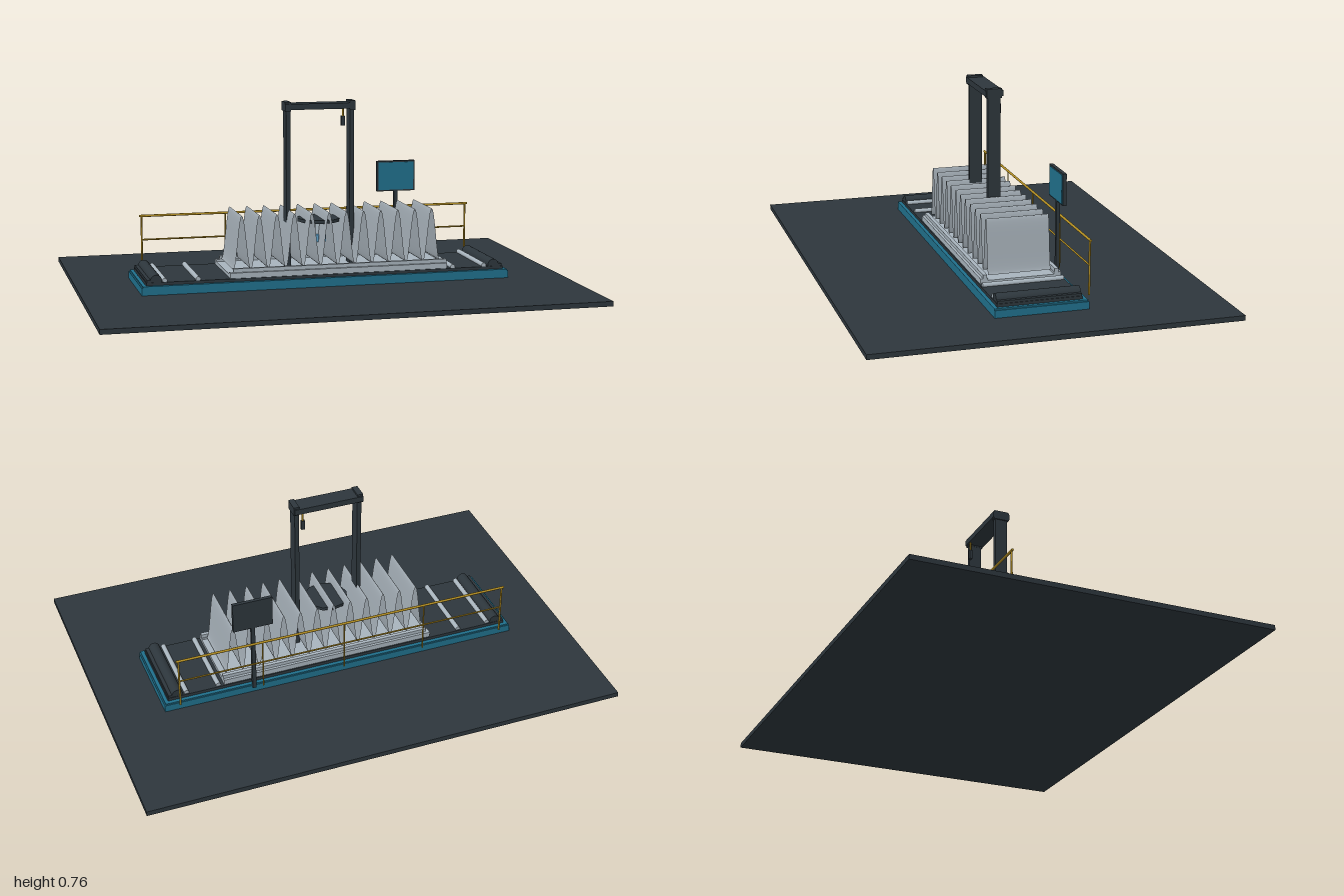
import * as THREE from 'three';

const mat = (name, color) => {
  const m = new THREE.MeshStandardMaterial({ color });
  m.name = name;
  return m;
};

export function createModel() {
  const model = new THREE.Group();
  const dark = mat('dark slate', 0x2d363c);
  const teal = mat('teal paint', 0x20708c);
  const steel = mat('light steel', 0xa8b4bd);
  const gold = mat('safety yellow', 0xb08c22);
  const blue = mat('light blue', 0x5fa3cc);
  const sheetMat = mat('sheet steel', 0xa3adb5);
  sheetMat.side = THREE.DoubleSide;

  const add = (name, geo, material, x, y, z) => {
    const mesh = new THREE.Mesh(geo, material);
    mesh.name = name;
    mesh.position.set(x, y, z);
    model.add(mesh);
    return mesh;
  };
  // Box given by its limits on each axis
  const box = (name, material, x0, x1, y0, y1, z0, z1) =>
    add(name, new THREE.BoxGeometry(x1 - x0, y1 - y0, z1 - z0), material,
      (x0 + x1) / 2, (y0 + y1) / 2, (z0 + z1) / 2);
  const post = (name, material, r, x, y0, y1, z) =>
    add(name, new THREE.CylinderGeometry(r, r, y1 - y0, 12), material, x, (y0 + y1) / 2, z);
  const barX = (name, material, r, x0, x1, y, z) => {
    add(name, new THREE.CylinderGeometry(r, r, x1 - x0, 12), material, (x0 + x1) / 2, y, z)
      .rotation.z = Math.PI / 2;
  };
  const barZ = (name, material, r, x, y, z0, z1) => {
    add(name, new THREE.CylinderGeometry(r, r, z1 - z0, 20), material, x, y, (z0 + z1) / 2)
      .rotation.x = Math.PI / 2;
  };

  // Floor and base tray
  box('floorSlab', dark, -1, 1, 0, 0.02, -0.73, 0.73);
  box('baseFrame', teal, -0.765, 0.765, 0.02, 0.05, -0.19, 0.185);
  for (const s of [-1, 1]) {
    box('baseRimSide', teal, -0.76, 0.76, 0.05, 0.056, s * 0.178 - 0.009, s * 0.178 + 0.007);
    box('baseRimEnd', teal, s * 0.753 - 0.007, s * 0.753 + 0.007, 0.05, 0.056, -0.18, 0.18);
  }
  box('deck', dark, -0.745, 0.745, 0.05, 0.068, -0.17, 0.17);

  // End drums and cross rollers
  for (const s of [-1, 1]) {
    barZ('endDrum', dark, 0.023, s * 0.705, 0.075, -0.168, 0.168);
    box('drumHousing', dark, s * 0.715 - 0.027, s * 0.715 + 0.027, 0.06, 0.078, -0.168, 0.168);
  }
  for (const x of [-0.67, -0.535, 0.53, 0.665]) barZ('crossRoller', steel, 0.01, x, 0.073, -0.165, 0.165);

  // Bed with side rails
  box('bed', steel, -0.405, 0.505, 0.068, 0.082, -0.165, 0.165);
  for (const s of [-1, 1]) {
    box('lowerRail', steel, -0.405, 0.505, 0.082, 0.09, s * 0.15 - 0.015, s * 0.15 + 0.015);
    box('upperRail', steel, -0.39, 0.505, 0.09, 0.105, s * 0.146 - 0.008, s * 0.146 + 0.008);
  }

  // Tall pleated sheet: a wave drawn along x and swept across z
  const crests = 12, perCrest = 24, n = crests * perCrest;
  const x0 = -0.385, x1 = 0.485;
  const sheet = new THREE.PlaneGeometry(1, 1, n, 1);
  const p = sheet.attributes.position;
  for (let i = 0; i < p.count; i++) {
    const t = p.getX(i) + 0.5;
    const y = 0.205 - 0.109 * Math.cos(t * crests * Math.PI * 2);
    p.setXYZ(i, x0 + t * (x1 - x0), y, p.getY(i) > 0 ? -0.128 : 0.128);
  }
  sheet.computeVertexNormals();
  add('pleatedSheet', sheet, sheetMat, 0, 0, 0);

  // Central pedestal
  post('pedestalDisc', dark, 0.09, 0, 0.262, 0.275, 0);
  post('pedestalColumn', steel, 0.013, 0, 0.2, 0.262, 0);
  post('pedestalRod', steel, 0.003, 0, 0.08, 0.18, 0);
  box('pedestalBlock', blue, -0.025, 0.025, 0.176, 0.206, -0.025, 0.025);
  box('blockFace', dark, -0.007, 0.007, 0.184, 0.198, 0.025, 0.028);

  // Gantry
  for (const s of [-1, 1]) {
    box('gantryPost', dark, s * 0.134 - 0.009, s * 0.134 + 0.009, 0.08, 0.745, -0.025, 0.028);
    box('gantryCap', dark, s * 0.136 - 0.012, s * 0.136 + 0.012, 0.72, 0.758, -0.03, 0.034);
  }
  box('gantryBeam', dark, -0.148, 0.145, 0.726, 0.75, -0.036, 0.037);
  post('pendantCable', gold, 0.004, 0.11, 0.685, 0.728, -0.028);
  box('pendantControl', dark, 0.102, 0.118, 0.65, 0.69, -0.034, -0.022);

  // Display on its post
  box('displayPost', dark, 0.377, 0.393, 0.04, 0.36, -0.195, -0.181);
  box('displayCase', dark, 0.302, 0.468, 0.345, 0.475, -0.196, -0.181);
  box('displayScreen', teal, 0.308, 0.462, 0.351, 0.469, -0.181, -0.178);

  // Guard rail behind the tray
  for (const x of [-0.705, -0.352, 0, 0.352, 0.705])
    post('railPost', gold, Math.abs(x) > 0.5 ? 0.004 : 0.003, x, 0.056, 0.275, -0.21);
  barX('topRail', gold, 0.005, -0.715, 0.715, 0.275, -0.21);
  barX('midRail', gold, 0.0035, -0.705, 0.705, 0.175, -0.21);

  return model;
}
